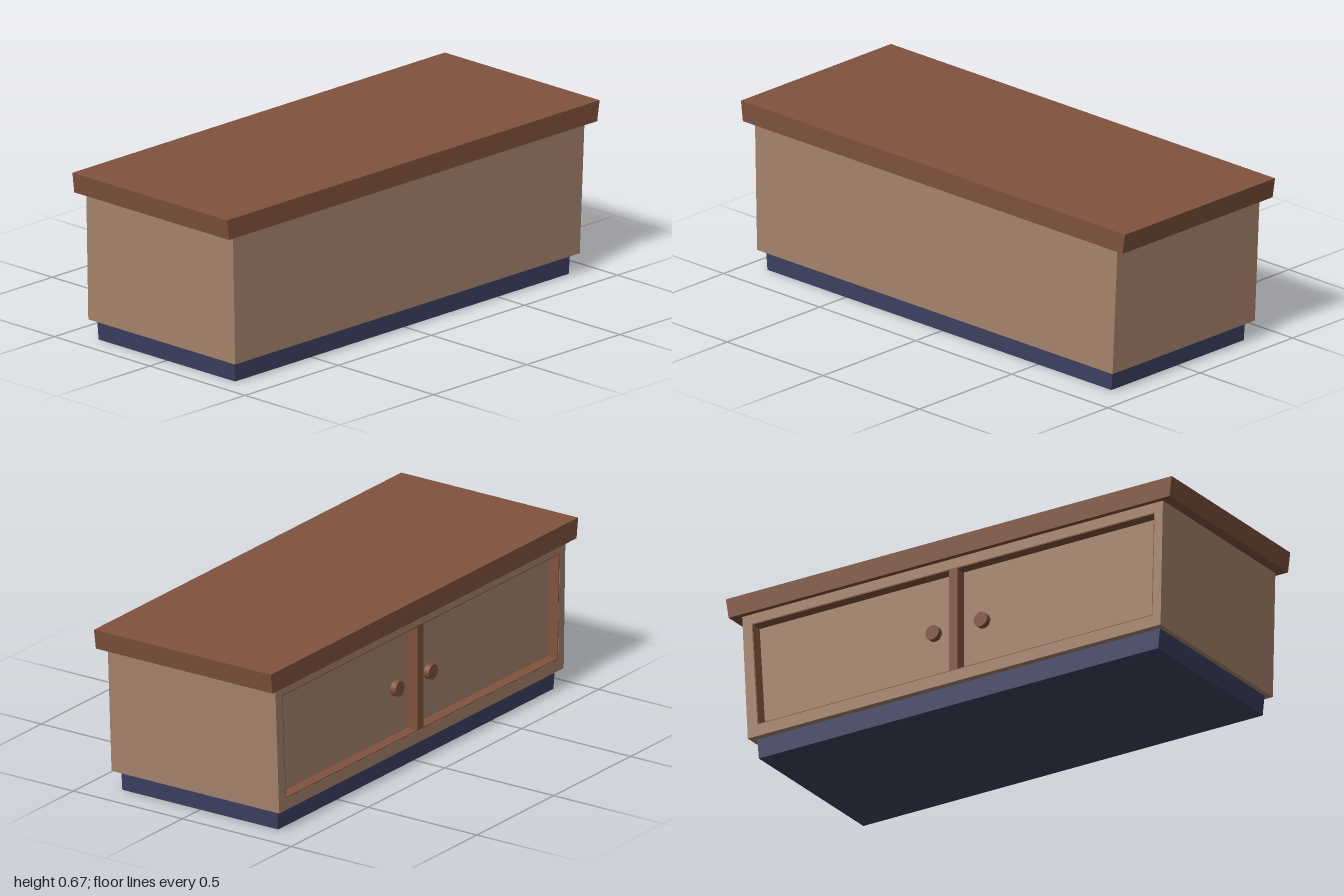
import * as THREE from 'three';

const WOOD = 0x80523d, PANEL = 0xa6846d, PLINTH = 0x3c4060;

// Trapezoid outline: [left x, right x] at the bottom and top heights
const outline = (y0, y1, bottom, top, PathType = THREE.Shape) =>
  new PathType([
    [bottom[0], y0], [bottom[1], y0], [top[1], y1], [top[0], y1],
  ].map(([x, y]) => new THREE.Vector2(x, y)));

export function createModel() {
  const model = new THREE.Group();
  model.name = 'counter';

  const add = (name, geometry, color) => {
    const mesh = new THREE.Mesh(geometry, new THREE.MeshStandardMaterial({ color }));
    mesh.name = name;
    model.add(mesh);
    return mesh;
  };
  // Extrude an outline between two depths
  const prism = (name, shape, z0, z1, color) => {
    const g = new THREE.ExtrudeGeometry(shape, { depth: z1 - z0, bevelEnabled: false });
    return add(name, g.translate(0, 0, z0), color);
  };

  // Plinth and countertop
  prism('plinth', outline(0, 0.08, [-0.908, 0.883], [-0.916, 0.89]), -0.358, 0.358, PLINTH);
  prism('countertop', outline(0.59, 0.67, [-0.99, 0.987], [-1, 1]), -0.406, 0.406, WOOD);

  // Cabinet body, with a face frame around the opening at the back
  const bodyOutline = () => outline(0.08, 0.59, [-0.936, 0.915], [-0.947, 0.94]);
  const back = -0.385, doorFace = -0.342, doorBack = -0.325;
  prism('cabinetBody', bodyOutline(), doorBack, 0.385, PANEL);
  const frame = bodyOutline();
  frame.holes.push(outline(0.127, 0.55, [-0.9, 0.872], [-0.91, 0.897], THREE.Path));
  prism('faceFrame', frame, back, doorBack, PANEL);

  // Thin wooden lining inside the opening
  const lining = outline(0.127, 0.55, [-0.9, 0.872], [-0.91, 0.897]);
  lining.holes.push(outline(0.131, 0.546, [-0.896, 0.868], [-0.906, 0.893], THREE.Path));
  prism('openingLining', lining, back + 0.001, doorBack, WOOD);

  // Divider between the doors
  prism('divider', outline(0.129, 0.548, [-0.024, 0.014], [-0.024, 0.014]), back + 0.001, doorBack, WOOD);

  // Recessed doors
  prism('rightDoor', outline(0.133, 0.544, [-0.893, -0.027], [-0.903, -0.027]), doorBack - 0.017, doorBack, PANEL);
  prism('leftDoor', outline(0.133, 0.544, [0.017, 0.865], [0.017, 0.89]), doorBack - 0.017, doorBack, PANEL);

  // Round knobs beside the divider
  for (const [name, x] of [['rightKnob', -0.115], ['leftKnob', 0.102]]) {
    const knob = add(name, new THREE.CylinderGeometry(0.03, 0.03, 0.025, 24).rotateX(Math.PI / 2), WOOD);
    knob.position.set(x, 0.32, doorFace - 0.011);
  }
  return model;
}
